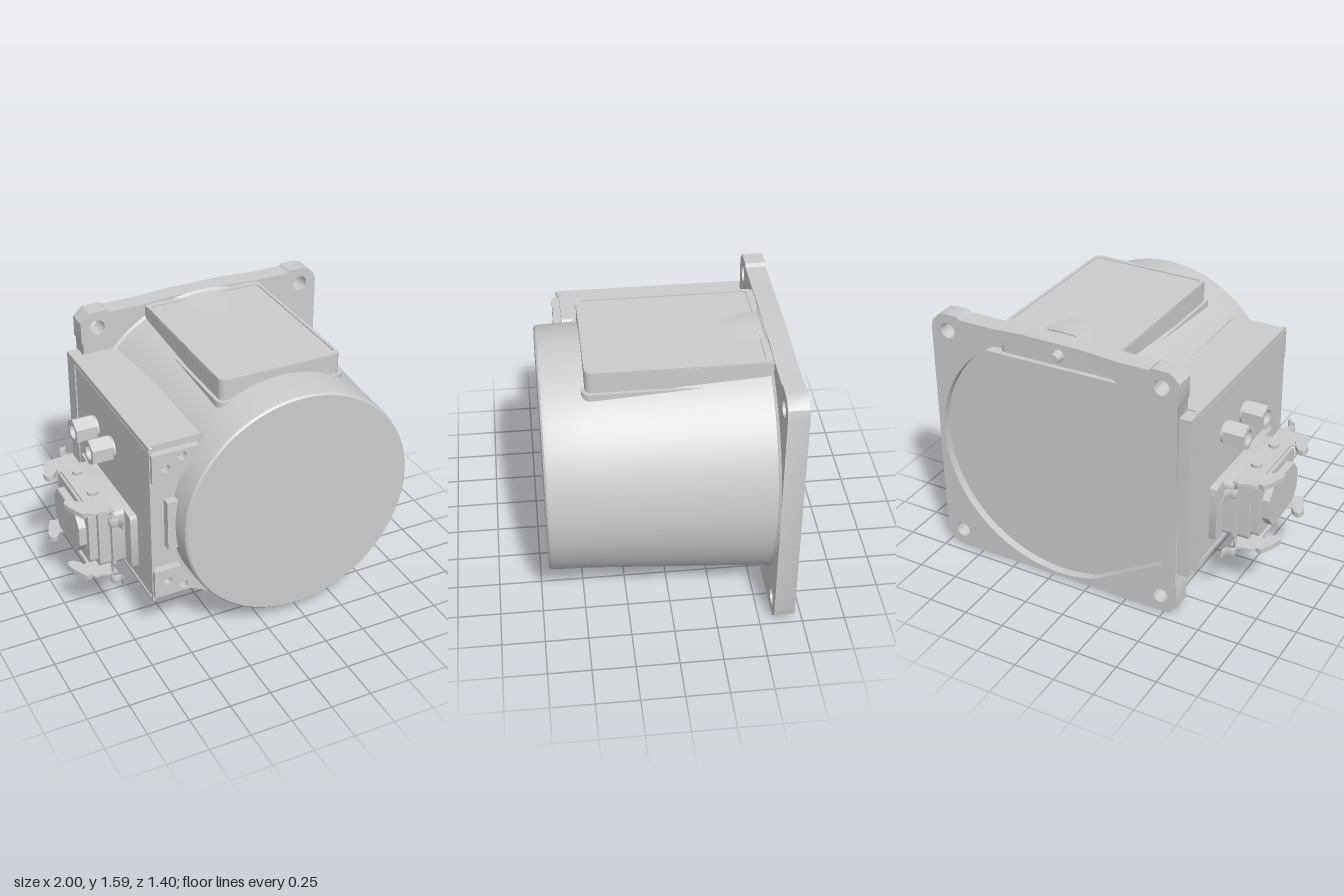
import * as THREE from 'three';
import { toCreasedNormals } from 'three/addons/utils/BufferGeometryUtils.js';

const material = new THREE.MeshStandardMaterial({ color: 0xcccccc, side: THREE.DoubleSide });
const CX = 0.205, CY = 0.79;

const poly = (pts) => new THREE.Shape(pts.map(([a, b]) => new THREE.Vector2(a, b)));
const circleHole = (x, y, r) => new THREE.Path().absarc(x, y, r, 0, Math.PI * 2, true);

function roundRect(a0, a1, b0, b1, r) {
  const s = new THREE.Shape();
  s.absarc(a1 - r, b0 + r, r, -Math.PI / 2, 0);
  s.absarc(a1 - r, b1 - r, r, 0, Math.PI / 2);
  s.absarc(a0 + r, b1 - r, r, Math.PI / 2, Math.PI);
  s.absarc(a0 + r, b0 + r, r, Math.PI, Math.PI * 1.5);
  return s;
}

// Extrusions along each axis: Z from z0 forward, X from x0 outward to -x, Y from y0 downward
const extrude = (shape, depth) =>
  new THREE.ExtrudeGeometry(shape, { depth, bevelEnabled: false, curveSegments: 16 });
const alongZ = (shape, z0, depth) => extrude(shape, depth).translate(0, 0, z0);
const alongX = (shape, x0, depth) => extrude(shape, depth).rotateY(-Math.PI / 2).translate(x0, 0, 0);
const alongY = (shape, y0, depth) => extrude(shape, depth).rotateX(Math.PI / 2).translate(0, y0, 0);

function box(x0, x1, y0, y1, z0, z1) {
  return new THREE.BoxGeometry(x1 - x0, y1 - y0, z1 - z0)
    .translate((x0 + x1) / 2, (y0 + y1) / 2, (z0 + z1) / 2);
}

export function createModel() {
  const model = new THREE.Group();
  const add = (name, geometry, parent = model) => {
    const mesh = new THREE.Mesh(toCreasedNormals(geometry, 0.5), material);
    mesh.name = name;
    parent.add(mesh);
    return mesh;
  };

  // Tapered round housing, closed at the front
  const profile = [[0.795, -0.58], [0.782, -0.565], [0.777, -0.5], [0.722, 0.45],
    [0.716, 0.67], [0.712, 0.69], [0.702, 0.7], [0, 0.7]].map(([r, z]) => new THREE.Vector2(r, z));
  add('housing', new THREE.LatheGeometry(profile, 96).rotateX(Math.PI / 2).translate(CX, CY, 0));

  // Rear opening outline: a circle widened at the lower corner beside the terminal box
  const opening = [];
  for (let i = 0; i <= 75; i++) {
    const a = THREE.MathUtils.degToRad(-105 + i * 4);
    opening.push([CX + 0.765 * Math.cos(a), CY + 0.765 * Math.sin(a)]);
  }
  opening.push([-0.52, 0.42], [-0.49, 0.33], [-0.27, 0.2], [-0.03, 0.06]);

  // Mounting flange with raised corner pads and bolt holes
  const flange = poly([[-0.53, 0], [0.9, 0], [0.95, 0.013], [0.987, 0.05], [1, 0.1],
    [1, 1.48], [0.987, 1.53], [0.95, 1.567], [0.91, 1.58], [0.82, 1.58], [0.8, 1.565],
    [0.6, 1.565], [0.4, 1.578], [0.0, 1.578], [-0.2, 1.565], [-0.4, 1.565], [-0.42, 1.58],
    [-0.53, 1.58], [-0.585, 1.525], [-0.585, 1.4], [-0.575, 1.38], [-0.575, 0.22],
    [-0.585, 0.2], [-0.585, 0.055]]);
  flange.holes.push(poly(opening));
  for (const x of [-0.48, 0.89]) for (const y of [0.108, 1.478]) flange.holes.push(circleHole(x, y, 0.047));
  add('mountingFlange', alongZ(flange, -0.7, 0.12));

  // Recessed rear cover, with a deeper pocket and a small stud along the top
  add('rearCover', alongZ(poly(opening.filter(([, y]) => y < 1.41)), -0.65, 0.064));
  add('rearPocket', new THREE.ShapeGeometry(poly(opening)).translate(0, 0, -0.586));
  add('rearStud', new THREE.CylinderGeometry(0.028, 0.04, 0.09, 12).rotateX(-Math.PI / 2).translate(CX, 1.46, -0.63));

  // Raised pad on top, a base flare and a fine rim around its panel
  add('topPad', alongY(roundRect(-0.17, 0.585, -0.62, 0.45, 0.04), 1.555, 0.25));
  add('topPadFlare', alongY(roundRect(-0.19, 0.605, -0.62, 0.47, 0.05), 1.435, 0.1));
  const rim = roundRect(-0.168, 0.583, -0.58, 0.448, 0.04);
  rim.holes.push(roundRect(-0.148, 0.563, -0.54, 0.42, 0.03));
  add('topPadRim', alongY(rim, 1.562, 0.008));

  // Sloping lower rib that joins the housing to the terminal box
  add('lowerRib', alongZ(poly([[-0.52, 0.295], [-0.5, 0.28], [0.0, 0.025], [0.05, 0.015],
    [0.2, 0.03], [0.24, 0.1], [0.1, 0.4], [-0.4, 0.6]]), -0.585, 1.035));

  // Terminal box on the right side
  const terminal = new THREE.Group();
  terminal.name = 'terminalBox';
  model.add(terminal);
  add('boxBody', alongZ(poly([[-0.638, 0.28], [-0.45, 0.28], [0, 0.4], [-0.2, 1.2],
    [-0.33, 1.32], [-0.638, 1.32]]), -0.585, 1.115), terminal);
  const frame = roundRect(-0.6, 0.55, 0.275, 1.32, 0.005);
  frame.holes.push(roundRect(-0.55, 0.535, 0.295, 1.29, 0.01));
  add('boxFrame', alongX(frame, -0.63, 0.02), terminal);
  add('boxCover', alongX(roundRect(-0.54, 0.525, 0.305, 1.28, 0.01), -0.63, 0.016), terminal);
  add('boxRearPost', box(-0.645, -0.57, 0.28, 1.31, -0.68, -0.58), terminal);
  add('housingBoss', box(-0.56, -0.45, 0.64, 0.955, 0.4, 0.58), terminal);

  // Angled end blocks with screw holes, mirrored about the box middle
  for (const s of [1, -1]) {
    const pts = [[-0.645, 0.3], [-0.48, 0.3], [-0.36, 0.46], [-0.36, 0.48], [-0.645, 0.48]];
    const block = poly(pts.map(([x, d]) => [x, 0.8 + s * d]));
    block.holes.push(circleHole(-0.565, 0.8 + s * 0.38, 0.027), circleHole(-0.465, 0.8 + s * 0.44, 0.027));
    add('endBlock', alongZ(block, 0.52, 0.055), terminal);
  }

  // Two hexagonal cable glands
  for (const z of [-0.25, 0]) {
    const hex = poly(Array.from({ length: 6 }, (_, i) => {
      const a = Math.PI / 6 + i * Math.PI / 3;
      return [z + 0.08 * Math.cos(a), 1.02 + 0.08 * Math.sin(a)];
    }));
    hex.holes.push(circleHole(z, 1.02, 0.045));
    add('cableGland', alongX(hex, -0.665, 0.127));
    add('glandCollar', new THREE.CylinderGeometry(0.065, 0.065, 0.06, 24)
      .rotateZ(Math.PI / 2).translate(-0.66, 1.02, z));
  }

  // Multi-pin connector, stepped outward from the box
  const connector = new THREE.Group();
  connector.name = 'connector';
  model.add(connector);
  const MZ = -0.04, MY = 0.568;
  const steps = [ // x start, depth, half length in z, half height in y, corner radius
    ['connectorBase', -0.64, 0.05, 0.385, 0.178, 0.02],
    ['connectorNeck', -0.68, 0.09, 0.3, 0.178, 0.03],
    ['connectorGasket', -0.75, 0.02, 0.3, 0.205, 0.03],
    ['connectorCollar', -0.77, 0.07, 0.27, 0.198, 0.03],
    ['connectorHood', -0.83, 0.06, 0.24, 0.178, 0.03]];
  for (const [name, x, d, hz, hy, r] of steps) {
    add(name, alongX(roundRect(MZ - hz, MZ + hz, MY - hy, MY + hy, r), x, d), connector);
  }
  const tip = poly([[-0.2, -0.06], [-0.14, -0.136], [0.14, -0.136], [0.2, -0.06],
    [0.2, 0.06], [0.14, 0.136], [-0.14, 0.136], [-0.2, 0.06]].map(([a, b]) => [MZ + a, MY + b]));
  add('connectorTip', alongX(tip, -0.88, 0.055), connector);

  // Locking clips above and below: plate, pivots, finger levers and springs
  const half = [[-0.76, 0.2], [-0.76, 0.33], [-0.8, 0.34], [-0.84, 0.32], [-0.89, 0.32],
    [-0.925, 0.27], [-0.925, 0.2], [-0.89, 0.17]];
  const plate = poly([...half.map(([x, z]) => [x, MZ + z]),
    ...half.slice().reverse().map(([x, z]) => [x, MZ - z])]);
  const lever = [[-0.9, 0.28], [-0.905, 0.3], [-0.94, 0.31], [-0.965, 0.26], [-0.995, 0.19],
    [-1, 0.155], [-0.985, 0.13], [-0.955, 0.135], [-0.925, 0.17], [-0.905, 0.21]];
  const spring = [[-0.78, 0.3], [-0.79, 0.35], [-0.82, 0.39], [-0.81, 0.412],
    [-0.775, 0.42], [-0.765, 0.46]];
  for (const s of [1, -1]) {
    const y = MY + s * 0.218;
    add('clipPlate', alongY(plate, y + 0.006, 0.012), connector);
    for (const m of [1, -1]) {
      add('clipLever', alongY(poly(lever.map(([x, z]) => [x, MZ + m * z])), y + 0.016, 0.032), connector);
      add('clipPivot', new THREE.CylinderGeometry(0.032, 0.032, 0.05, 20)
        .translate(-0.81, y, MZ + m * 0.12), connector);
      const path = new THREE.CatmullRomCurve3(spring.map(([x, z]) => new THREE.Vector3(x, y, MZ + m * z)));
      const wire = new THREE.TubeGeometry(path, 24, 0.006, 6);
      wire.translate(0, -y, 0).scale(1, 5, 1).translate(0, y - s * 0.02, 0);
      add('clipSpring', wire, connector);
    }
  }
  return model;
}
